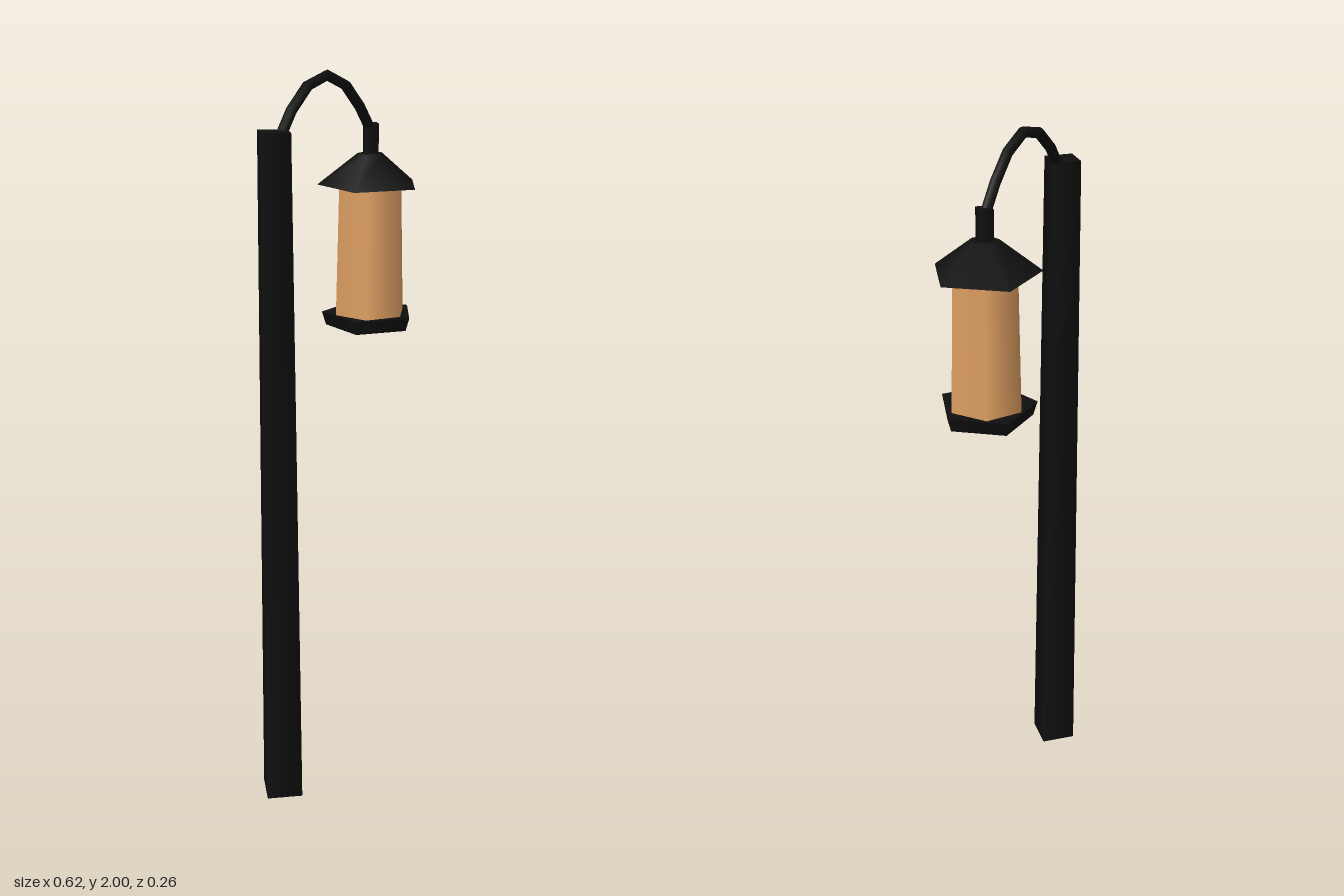
import * as THREE from 'three';

export function createModel() {
  const model = new THREE.Group();
  model.name = 'streetLamp';

  const iron = new THREE.MeshStandardMaterial({ color: 0x0f0f0f });
  iron.name = 'black iron';
  const amber = new THREE.MeshStandardMaterial({ color: 0xdfa062 });
  amber.name = 'amber glass';

  const Z = -0.015; // shared centre plane of post, arm and lantern
  const POST_X = -0.243;
  const LAMP_X = 0.173;

  // tapered prism standing between two heights
  function prism(name, material, x, y0, y1, r0, r1, sides) {
    const geometry = new THREE.CylinderGeometry(r1, r0, y1 - y0, sides);
    const mesh = new THREE.Mesh(geometry, material);
    mesh.name = name;
    mesh.position.set(x, (y0 + y1) / 2, Z);
    return mesh;
  }

  // square post, turned corner-forward
  model.add(prism('post', iron, POST_X, 0, 1.865, 0.07, 0.054, 4));

  // curved arm from the post top to the lantern neck
  const path = new THREE.CatmullRomCurve3([
    [-0.225, 1.84], [-0.16, 1.923], [-0.1, 1.967], [-0.037, 1.985],
    [0.037, 1.965], [0.105, 1.91], [0.173, 1.825],
  ].map(([x, y]) => new THREE.Vector3(x, y, Z)));
  const arm = new THREE.Mesh(new THREE.TubeGeometry(path, 6, 0.014, 8), iron);
  arm.name = 'arm';
  model.add(arm);

  // hanging lantern
  const lantern = new THREE.Group();
  lantern.name = 'lantern';
  lantern.add(
    prism('neck', iron, LAMP_X, 1.75, 1.845, 0.026, 0.026, 4),
    prism('roof', iron, LAMP_X, 1.68, 1.765, 0.145, 0.036, 5),
    prism('glass', amber, LAMP_X, 1.32, 1.685, 0.103, 0.093, 6),
    prism('base', iron, LAMP_X, 1.288, 1.325, 0.122, 0.1335, 5),
  );
  model.add(lantern);

  return model;
}
